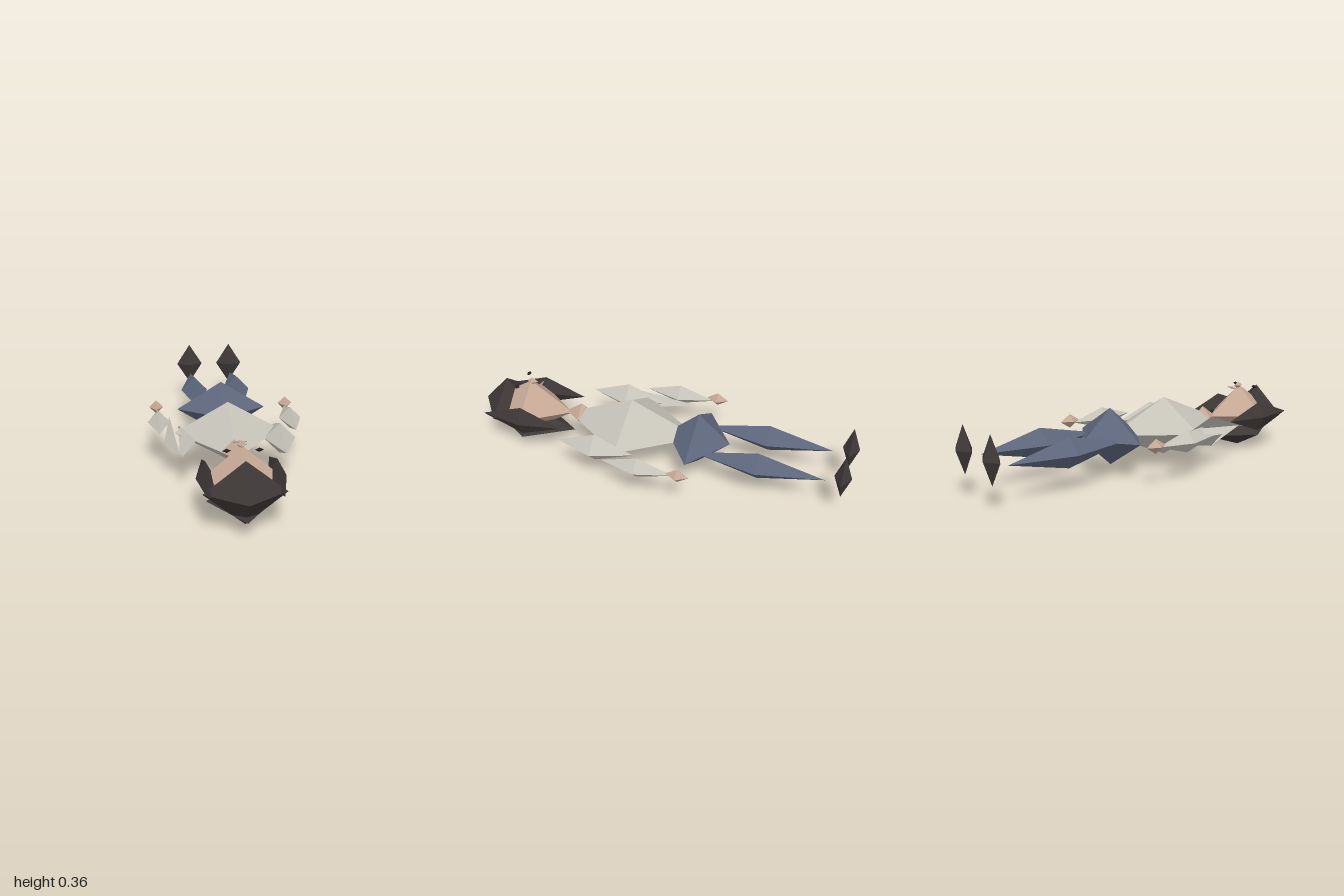
import * as THREE from 'three';

export function createModel() {
  const model = new THREE.Group();
  model.name = 'lyingFigure';

  const paint = (name, color) => {
    const m = new THREE.MeshStandardMaterial({ color, flatShading: true });
    m.name = name;
    return m;
  };
  const hair = paint('hair', 0x3d3736);
  const skin = paint('skin', 0xc4a794);
  const lips = paint('lips', 0xb08a7a);
  const shirt = paint('shirt', 0xc5c2b8);
  const trousers = paint('trousers', 0x5d667c);
  const boots = paint('boots', 0x3f3938);
  const eyes = paint('eyes', 0x241f20);
  const tornShirt = paint('torn sleeve', 0xc5c2b8);
  tornShirt.side = THREE.DoubleSide;

  // An eight-sided gem with the given centre and half sizes
  const gem = (name, material, centre, half) => {
    const mesh = new THREE.Mesh(new THREE.OctahedronGeometry(1).scale(...half), material);
    mesh.name = name;
    mesh.position.set(...centre);
    model.add(mesh);
  };
  const pair = (name, material, [x, y, z], half) => {
    gem('left' + name, material, [x, y, z], half);
    gem('right' + name, material, [-x, y, z], half);
  };

  // Body, lying on its back with the head toward +z
  gem('torso', shirt, [0, 0.194, 0.15], [0.265, 0.152, 0.36]);
  gem('pelvis', trousers, [0, 0.194, -0.207], [0.233, 0.145, 0.165]);
  gem('neck', skin, [0, 0.195, 0.435], [0.063, 0.063, 0.09]);

  // Legs and feet
  pair('Leg', trousers, [0.12, 0.193, -0.545], [0.073, 0.075, 0.33]);
  pair('Boot', boots, [0.12, 0.232, -0.957], [0.075, 0.118, 0.042]);

  // Arms and hands
  gem('leftUpperArm', shirt, [0.243, 0.19, 0.26], [0.077, 0.077, 0.205]);
  pair('Forearm', shirt, [0.338, 0.2, 0], [0.056, 0.056, 0.187]);
  pair('Hand', skin, [0.345, 0.211, -0.207], [0.037, 0.037, 0.058]);

  // Right upper arm: whole on the inside, torn open on the outside
  const [cx, cy, cz, r, len] = [-0.243, 0.19, 0.26, 0.077, 0.205];
  const corners = [];
  for (const sy of [1, -1]) {
    for (const sz of [1, -1]) {
      const a = [cx + r, cy, cz], b = [cx, cy + sy * r, cz], c = [cx, cy, cz + sz * len];
      corners.push(...(sy * sz > 0 ? [a, b, c] : [a, c, b]));
    }
  }
  corners.push([cx - r, cy, cz], [cx, cy - r, cz], [-0.28, cy, 0.1 - len]);
  const torn = new THREE.BufferGeometry();
  torn.setAttribute('position', new THREE.Float32BufferAttribute(corners.flat(), 3));
  torn.computeVertexNormals();
  const tornArm = new THREE.Mesh(torn, tornShirt);
  tornArm.name = 'rightUpperArm';
  model.add(tornArm);

  // Head and face
  gem('head', skin, [0, 0.19, 0.72], [0.172, 0.15, 0.23]);
  gem('nose', skin, [0, 0.34, 0.71], [0.022, 0.02, 0.032]);
  gem('mouth', lips, [0, 0.332, 0.66], [0.037, 0.006, 0.008]);
  pair('Eye', eyes, [0.07, 0.334, 0.765], [0.02, 0.01, 0.012]);

  // Hair: crown, back and side locks
  gem('hairCrown', hair, [0, 0.18, 0.864], [0.182, 0.145, 0.132]);
  gem('hairBack', hair, [0, 0.08, 0.717], [0.155, 0.08, 0.235]);
  pair('HairLock', hair, [0.157, 0.188, 0.712], [0.043, 0.08, 0.222]);

  return model;
}
